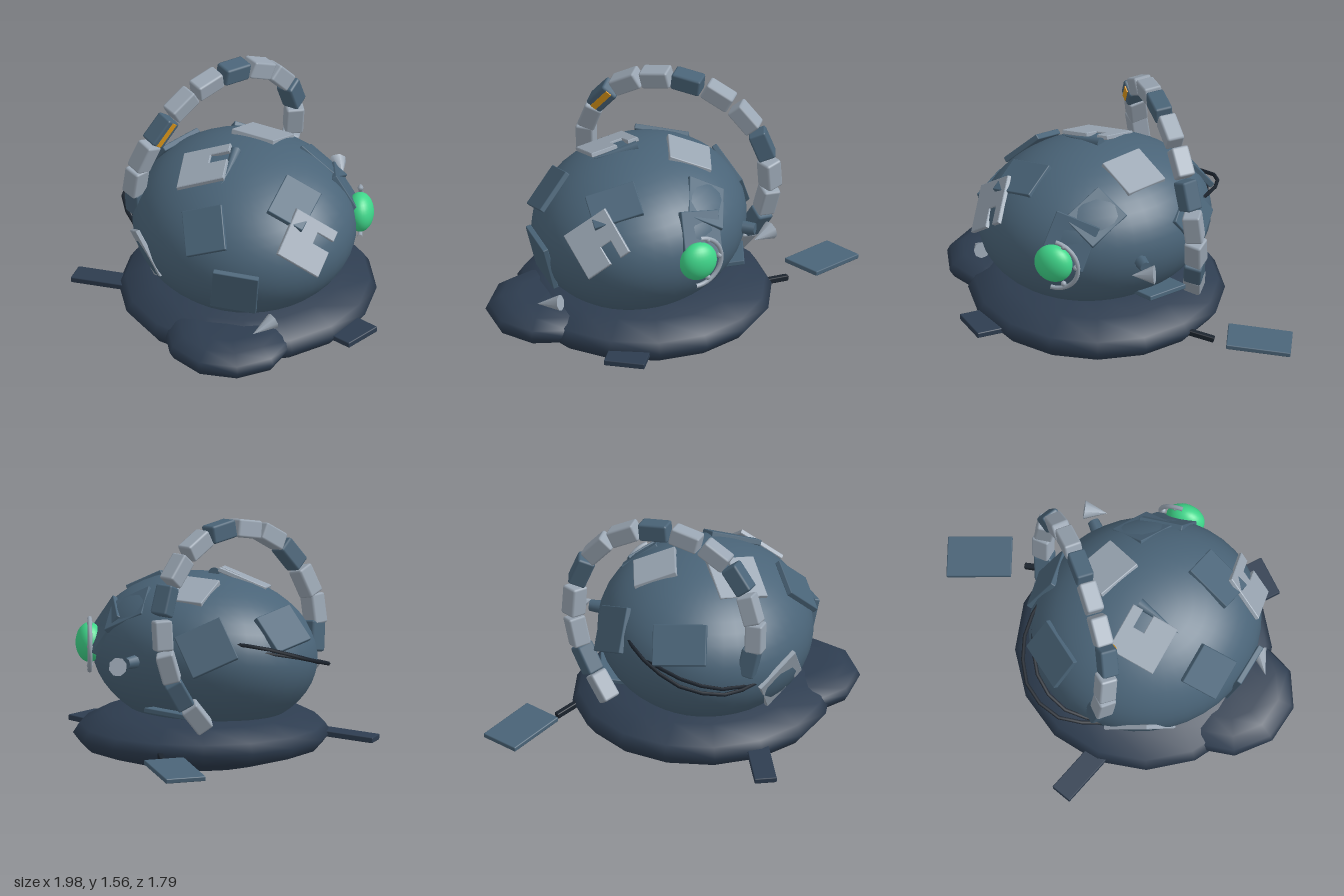
import * as THREE from 'three';
import { RoundedBoxGeometry } from 'three/addons/geometries/RoundedBoxGeometry.js';

const mat = (color) => new THREE.MeshStandardMaterial({ color });
const V = (a) => new THREE.Vector3(...a);

export function createModel() {
  const root = new THREE.Group();
  const blue = mat(0x4a6478), navy = mat(0x2e3d50), grey = mat(0x9aa6b3),
    green = mat(0x3fd68a), black = mat(0x1b232d), amber = mat(0xe09a1a);

  const add = (name, geometry, material, pos = [0, 0, 0], parent = root) => {
    const m = new THREE.Mesh(geometry, material);
    m.name = name;
    m.position.set(...pos);
    parent.add(m);
    return m;
  };
  // Turns a mesh so that its local y axis follows a direction
  const alongY = (m, dir) =>
    m.quaternion.setFromUnitVectors(new THREE.Vector3(0, 1, 0), dir.clone().normalize());

  // Body: smooth egg, leaning slightly to one side
  const centre = V([-0.155, 0.69, 0]), radii = V([0.645, 0.48, 0.71]);
  const body = add('body', new THREE.SphereGeometry(1, 40, 24), blue, centre.toArray());
  body.scale.copy(radii);
  body.rotation.z = 0.12;

  // Base: broad cushion with flat top and shallow belly, and a smaller lobe on one side
  const profile = [[0, 0.005], [0.5, 0.035], [0.93, 0.13], [1, 0.2], [0.95, 0.26],
    [0.76, 0.335], [0.48, 0.36], [0, 0.365]].map(([r, y]) => new THREE.Vector2(r, y));
  const cushion = (name, pos, scale, n) =>
    add(name, new THREE.LatheGeometry(profile, n), navy, pos).scale.set(...scale);
  cushion('base', [-0.13, 0, 0], [0.78, 1, 0.77], 16);
  cushion('baseLobe', [-0.62, 0.08, 0.35], [0.38, 0.66, 0.4], 10);

  // Lays a part on the body; sink presses it in and tilt lifts its upper or lower edge
  const onBody = (m, point, roll, sink = 0.01, tilt = 0) => {
    const d = V(point).sub(centre);
    const k = d.clone().divide(radii).length();
    const normal = d.clone().divide(radii).divide(radii).normalize();
    m.position.copy(centre).addScaledVector(d, 1 / k);
    m.lookAt(m.position.clone().add(normal));
    m.position.addScaledVector(normal, -sink);
    m.rotateZ(roll);
    m.rotateX(tilt);
  };

  // Hull plates: [point, width, height, roll]
  [
    [[-0.18, 0.9, -0.6], 0.33, 0.25, 0.12],
    [[0.31, 0.84, -0.46], 0.3, 0.28, 0.45],
    [[0.33, 1.0, 0.2], 0.29, 0.25, 0.72],
    [[0.36, 0.88, 0.39], 0.28, 0.29, -0.3],
    [[-0.18, 1.03, 0.44], 0.31, 0.24, 0.55],
    [[-0.64, 0.6, 0.43], 0.28, 0.31, -0.1],
    [[-0.63, 0.92, 0.18], 0.26, 0.28, 0.45],
  ].forEach(([p, w, h, roll]) =>
    onBody(add('hullPlate', new RoundedBoxGeometry(w, h, 0.035, 1, 0.006), blue), p, roll));
  onBody(add('topPlate', new RoundedBoxGeometry(0.29, 0.27, 0.035, 1, 0.006), grey),
    [0.13, 1.13, -0.14], -0.08, 0);
  const under = add('lowerPlate', new RoundedBoxGeometry(0.2, 0.03, 0.28, 1, 0.006), blue, [0.34, 0.41, -0.2]);
  under.rotation.set(-0.08, 0.3, 0.15);

  // Pale patches with a notch cut out of one edge: [point, roll, sink, tilt]
  const s = 0.15;
  const notched = new THREE.Shape([
    [-s, -s], [0.01, -s], [0.01, -0.03], [0.09, -0.03], [0.09, -s], [s, -s], [s, s], [-s, s],
  ].map(([x, y]) => new THREE.Vector2(x, y)));
  const patchGeo = new THREE.ExtrudeGeometry(notched, {
    depth: 0.02, bevelSize: 0.004, bevelThickness: 0.004, bevelSegments: 1,
  });
  [
    [[-0.24, 0.87, 0.63], 0.78, 0.02, 0],
    [[-0.38, 1.12, -0.11], 2.6, 0.025, -0.12],
    [[-0.72, 0.56, -0.28], 0.6, 0.03, 0],
  ].forEach(([p, ...pose]) => onBody(add('notchedPatch', patchGeo, grey), p, ...pose));

  // Eye with a half ring around its outer edge
  const eye = new THREE.Group();
  eye.name = 'eye';
  eye.position.set(0.345, 0.75, 0.48);
  eye.rotation.y = Math.PI / 4;
  root.add(eye);
  add('eyeBall', new THREE.SphereGeometry(0.12, 28, 18), green, [0, 0, 0], eye).scale.z = 0.7;
  const ring = add('eyeRing', new THREE.TorusGeometry(0.16, 0.014, 8, 20, Math.PI), grey,
    [0, -0.01, 0], eye);
  ring.rotation.z = -Math.PI / 2 - 0.1;
  for (const a of [-1.1, 0, 1.1]) {
    add('ringStud', new THREE.SphereGeometry(0.018, 8, 6), grey,
      [0.145 * Math.cos(a), 0.145 * Math.sin(a), 0], eye);
  }

  // Segmented arch: a chain of blocks rising over the body
  const arch = new THREE.CatmullRomCurve3([
    [-0.58, 0.79, -0.49], [-0.61, 0.95, -0.47], [-0.57, 1.12, -0.44], [-0.48, 1.29, -0.39],
    [-0.33, 1.42, -0.37], [-0.14, 1.49, -0.35], [0.06, 1.5, -0.33], [0.255, 1.44, -0.32],
    [0.42, 1.31, -0.32], [0.525, 1.14, -0.32], [0.565, 0.935, -0.34], [0.54, 0.74, -0.365],
    [0.47, 0.57, -0.385], [0.36, 0.42, -0.43],
  ].map(V));
  const block = new RoundedBoxGeometry(0.11, 0.185, 0.11, 1, 0.014);
  for (let i = 0; i < 14; i++) {
    const m = add('archBlock', block, i % 3 === 0 ? blue : grey, arch.getPoint(i / 13).toArray());
    alongY(m, arch.getTangent(i / 13));
    if (i === 3) add('archStripe', new THREE.BoxGeometry(0.04, 0.17, 0.01), amber, [0, 0, 0.054], m);
  }

  // Loose cables looping behind the body
  [
    [[0.2, 0.86, -0.5], [0.05, 0.83, -0.69], [-0.25, 0.73, -0.81], [-0.5, 0.66, -0.7], [-0.62, 0.63, -0.46]],
    [[0.25, 0.83, -0.48], [0.05, 0.8, -0.64], [-0.25, 0.73, -0.73], [-0.48, 0.66, -0.64], [-0.62, 0.63, -0.44]],
  ].forEach((pts) => add('cable',
    new THREE.TubeGeometry(new THREE.CatmullRomCurve3(pts.map(V)), 8, 0.012, 5), black));

  // Spikes: [base centre, tip, radius, material]
  [
    [[0.65, 0.715, -0.05], [0.58, 0.7, 0.07], 0.058, grey],
    [[-0.48, 0.4, 0.6], [-0.63, 0.36, 0.58], 0.05, grey],
    [[-0.18, 1.17, -0.05], [-0.44, 1.12, 0.1], 0.035, blue],
  ].forEach(([a, b, r, material]) => {
    const dir = V(b).sub(V(a));
    const mid = V(a).addScaledVector(dir, 0.5);
    alongY(add('spike', new THREE.ConeGeometry(r, dir.length(), 8), material, mid.toArray()), dir);
  });
  const peg = add('sidePeg', new THREE.CylinderGeometry(0.035, 0.045, 0.12, 8), blue, [0.5, 0.72, -0.03]);
  peg.rotation.z = -Math.PI / 2;

  // Flat fins around the base: [name, size, position, yaw, pitch, material]
  [
    ['rearFin', [0.255, 0.03, 0.39], [0.8, 0.19, -0.67], -0.45, -0.12, blue],
    ['rearFin', [0.135, 0.035, 0.34], [-0.71, 0.19, -0.67], 0.44, -0.08, navy],
    ['frontFin', [0.25, 0.035, 0.26], [-0.015, 0.195, 0.755], 0.06, -0.05, navy],
    ['finStrut', [0.035, 0.035, 0.2], [0.59, 0.185, -0.36], -0.62, -0.2, black],
  ].forEach(([name, size, pos, yaw, pitch, material]) => {
    const fin = add(name, new RoundedBoxGeometry(...size, 1, 0.006), material, pos);
    fin.rotation.set(pitch, yaw, 0, 'YXZ');
  });

  return root;
}
